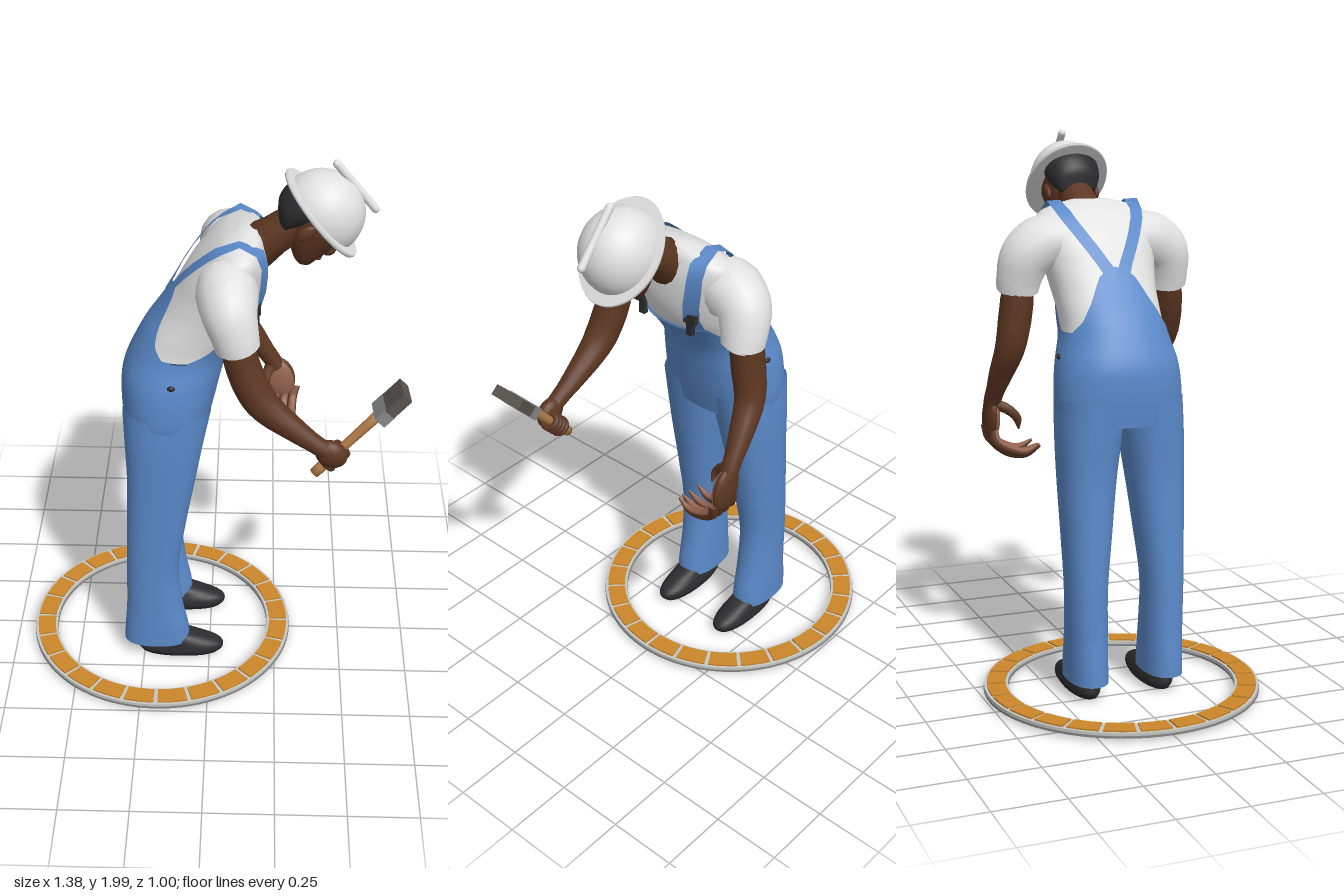
import * as THREE from 'three';
import { ParametricGeometry } from 'three/addons/geometries/ParametricGeometry.js';

const paint = (name, color) => Object.assign(new THREE.MeshStandardMaterial({ color }), { name });
const V = (a) => new THREE.Vector3(...a);

export function createModel() {
  const model = new THREE.Group();
  const denim = paint('denim blue', 0x5b8aca);
  denim.side = THREE.DoubleSide;
  const white = paint('white', 0xe0e1e0);
  const skin = paint('dark skin', 0x5c3621);
  const palmSkin = paint('palm skin', 0x946450);
  const black = paint('black', 0x2c2c2e);
  const orange = paint('orange tile', 0xcc872b);
  const grey = paint('grey', 0x858688);
  const wood = paint('wood', 0xb27c48);
  const bristle = paint('bristle', 0x57524c);
  const grout = paint('grout', 0xc6c6c2);

  const add = (name, geo, mat, parent = model, pos = [0, 0, 0], scale = [1, 1, 1]) => {
    const m = new THREE.Mesh(geo, mat);
    m.name = name;
    m.position.set(...pos);
    m.scale.set(...scale);
    parent.add(m);
    return m;
  };
  const ball = new THREE.SphereGeometry(1, 24, 16);

  // Smoothly interpolated cross-sections: rows of [y, xMin, xMax, zMin, zMax]
  const sections = (rows) => {
    const it = new THREE.CubicInterpolant(rows.map((r) => r[0]), rows.flatMap((r) => r.slice(1)), 4);
    return (y) => {
      const [x0, x1, z0, z1] = it.evaluate(y);
      return { cx: (x0 + x1) / 2, a: (x1 - x0) / 2, cz: (z0 + z1) / 2, b: (z1 - z0) / 2 };
    };
  };
  // Closed loft through the sections; topAt may vary the upper edge by angle
  const loft = (rows, { power = 2, grow = 0, topAt = null, N = 36, sides = 40 } = {}) => {
    const at = sections(rows), y0 = rows[0][0], y1 = rows[rows.length - 1][0];
    const e = 2 / power;
    return new ParametricGeometry((u, v, p) => {
      const t = -u * Math.PI * 2, c = Math.cos(t), s = Math.sin(t);
      const k = THREE.MathUtils.clamp((v * N - 1) / (N - 2), 0, 1);
      const y = y0 + ((topAt ? topAt(t) : y1) - y0) * k;
      const { cx, a, cz, b } = at(y);
      const f = v <= 0 || v >= 1 ? 0.001 : 1;
      p.set(cx + f * (a + grow) * Math.sign(c) * Math.abs(c) ** e, y,
        cz + f * (b + grow) * Math.sign(s) * Math.abs(s) ** e);
    }, sides, N);
  };
  // Tube along points whose radius follows an evenly spaced list
  const limb = (pts, radii, T = 28, R = 16) => {
    const curve = new THREE.CatmullRomCurve3(pts.map(V));
    const g = new THREE.TubeGeometry(curve, T, 1, R);
    const pos = g.attributes.position, p = new THREE.Vector3();
    for (let i = 0; i <= T; i++) {
      const c = curve.getPointAt(i / T), q = (i / T) * (radii.length - 1);
      const n = Math.min(Math.floor(q), radii.length - 2);
      const r = THREE.MathUtils.lerp(radii[n], radii[n + 1], q - n);
      for (let j = 0; j <= R; j++) {
        const k = i * (R + 1) + j;
        p.fromBufferAttribute(pos, k).sub(c).multiplyScalar(r).add(c);
        pos.setXYZ(k, p.x, p.y, p.z);
      }
    }
    return g;
  };

  // Tiled ring on the floor
  const ring = new THREE.Group();
  ring.name = 'floorRing';
  ring.position.x = -0.19;
  model.add(ring);
  const arc = (r0, r1, a0, a1, y, h) => {
    const s = new THREE.Shape();
    s.absarc(0, 0, r1, a0, a1, false);
    if (a1 - a0 > 6) s.holes.push(new THREE.Path().absarc(0, 0, r0, a0, a1, true));
    else s.absarc(0, 0, r0, a1, a0, true);
    return new THREE.ExtrudeGeometry(s, { depth: h, bevelEnabled: false, curveSegments: a1 - a0 > 6 ? 48 : 4 })
      .rotateX(-Math.PI / 2).translate(0, y, 0);
  };
  add('ringBase', arc(0.41, 0.5, 0, Math.PI * 2, 0.012, 0.008), grey, ring);
  add('ringGrout', arc(0.412, 0.498, 0, Math.PI * 2, 0.02, 0.01), grout, ring);
  for (let i = 0; i < 24; i++) {
    const a = (i / 24) * Math.PI * 2;
    add('ringTile', arc(0.421, 0.488, a + 0.016, a + 0.246, 0.028, 0.008), orange, ring);
  }

  // Shoes and trouser legs
  for (const s of [1, -1]) {
    const side = (rows) => rows.map(([y, a, b, i, o]) => [y, a, b, ...(s > 0 ? [i, o] : [-o, -i])]);
    add('shoe', loft(side([[0, -0.26, 0.035, 0.09, 0.19], [0.02, -0.272, 0.052, 0.08, 0.202],
      [0.045, -0.27, 0.045, 0.082, 0.2], [0.07, -0.265, -0.01, 0.09, 0.195], [0.1, -0.26, -0.1, 0.095, 0.19]]),
    { N: 14, power: 2.2 }), black);
    add('trouserLeg', loft(side([[0.065, -0.325, -0.075, 0.072, 0.215], [0.12, -0.322, -0.08, 0.073, 0.215],
      [0.22, -0.314, -0.1, 0.073, 0.215], [0.4, -0.31, -0.115, 0.073, 0.218], [0.6, -0.305, -0.087, 0.052, 0.224],
      [0.8, -0.3, -0.05, 0.028, 0.229], [0.95, -0.305, -0.022, 0.006, 0.23], [1.08, -0.31, 0.005, -0.01, 0.225]]),
    { power: 2.3 }), denim);
  }

  // Torso: shirt with the overalls as a slightly larger shell
  const body = [[0.99, -0.3, -0.02, 0.2], [1.05, -0.305, -0.005, 0.218], [1.12, -0.308, 0.012, 0.218],
    [1.2, -0.302, 0.03, 0.208], [1.3, -0.262, 0.06, 0.183], [1.38, -0.218, 0.11, 0.182], [1.45, -0.168, 0.162, 0.188],
    [1.52, -0.122, 0.188, 0.2], [1.6, -0.075, 0.198, 0.215], [1.66, -0.028, 0.195, 0.225], [1.7, 0.01, 0.185, 0.21],
    [1.732, 0.05, 0.175, 0.15], [1.75, 0.09, 0.16, 0.07]].map(([y, a, b, z]) => [y, a, b, -z, z]);
  add('shirt', loft(body.slice(3), { power: 2.3 }), white);
  const edge = [[0, 1.425], [44, 1.43], [52, 1.39], [66, 1.335], [85, 1.305], [112, 1.31], [132, 1.35],
    [150, 1.42], [165, 1.5], [180, 1.53]];
  const topAt = (t) => {
    const d = THREE.MathUtils.radToDeg(Math.acos(THREE.MathUtils.clamp(Math.cos(t), -1, 1)));
    const i = Math.max(1, edge.findIndex((k) => k[0] >= d - 1e-6));
    const [a, ya] = edge[i - 1], [b, yb] = edge[i];
    return THREE.MathUtils.mapLinear(d, a, b, ya, yb);
  };
  add('overalls', loft(body, { power: 2.3, grow: 0.01, topAt, sides: 90 }), denim);

  // Straps laid over the torso, with buckles; a small side button
  const at = sections(body);
  const onBody = (y, z, f) => {
    const { cx, a, b } = at(y);
    return cx + f * (a * Math.max(0, 1 - Math.abs(z / b) ** 2.3) ** (1 / 2.3) + 0.012);
  };
  const strapPath = [[1.48, 0.015, -1], [1.53, 0.04, -1], [1.58, 0.07, -1], [1.63, 0.1, -1], [1.68, 0.128, -1],
    [1.71, 0.14, -1], [1.742, 0.148, 0], [1.71, 0.15, 1], [1.66, 0.146, 1], [1.6, 0.137, 1], [1.54, 0.124, 1],
    [1.48, 0.112, 1], [1.41, 0.105, 1]];
  for (const s of [1, -1]) {
    const g = new THREE.PlaneGeometry(1, 1, 1, strapPath.length - 1);
    strapPath.forEach(([y, z, f], i) => [-0.026, 0.026].forEach((w, j) => {
      const x = f ? onBody(y, z + w, f) : 0.1;
      g.attributes.position.setXYZ(i * 2 + j, x, y + 0.008, s * (z + w));
    }));
    g.computeVertexNormals();
    add('strap', g, denim);
    const x = onBody(1.47, 0.11, 1);
    add('buckle', new THREE.BoxGeometry(0.018, 0.035, 0.05), black, model, [x + 0.004, 1.495, s * 0.112]);
    add('buckleClip', new THREE.BoxGeometry(0.018, 0.05, 0.024), black, model, [x, 1.455, s * 0.108]);
    add('sideButton', ball, black, model, [-0.13, 1.225, s * 0.213], [0.014, 0.01, 0.008]);
    add('sleeve', limb([[0.055, 1.61, s * 0.12], [0.06, 1.6, s * 0.2], [0.07, 1.555, s * 0.262], [0.09, 1.48, s * 0.283],
      [0.105, 1.415, s * 0.286], [0.1, 1.44, s * 0.286]], [0.05, 0.1, 0.107, 0.1, 0.09, 0.082, 0.076, 0.02]), white);
  }

  // Arms
  add('rightArm', limb([[0.09, 1.48, 0.285], [0.125, 1.35, 0.3], [0.185, 1.235, 0.312], [0.3, 1.135, 0.322],
    [0.39, 1.07, 0.33], [0.42, 1.05, 0.33]], [0.05, 0.06, 0.062, 0.06, 0.052, 0.043, 0.034, 0.03]), skin);
  add('leftArm', limb([[0.085, 1.48, -0.285], [0.085, 1.35, -0.3], [0.095, 1.23, -0.318], [0.16, 1.12, -0.335],
    [0.225, 1.02, -0.345], [0.24, 0.99, -0.345]], [0.05, 0.06, 0.06, 0.056, 0.05, 0.043, 0.034, 0.032]), skin);

  // Open left hand with curled fingers
  add('leftHand', ball, skin, model, [0.252, 0.945, -0.348], [0.06, 0.085, 0.026]).rotation.z = 0.25;
  add('leftPalm', ball, palmSkin, model, [0.252, 0.942, -0.337], [0.055, 0.08, 0.022]).rotation.z = 0.25;
  for (let i = 0; i < 4; i++) {
    const x = 0.21 + i * 0.032, d = [0.014, 0, 0, 0.012][i];
    const finger = (o, r) => limb([[x + 0.012, 0.91, -0.348 + o], [x, 0.86 + o, -0.338 + o], [x - 0.004, 0.815 + d + o, -0.29 + o],
      [x - 0.008, 0.8 + d + o, -0.225], [x - 0.01, 0.825 + d + o, -0.16 - d]], [r, r, r, r * 0.9, r * 0.8, 0.003], 18, 8);
    add('leftFinger', finger(0, 0.0165), skin);
    add('leftFingerInside', finger(0.005, 0.0145), palmSkin);
  }
  add('leftThumb', limb([[0.225, 1.0, -0.34], [0.205, 0.985, -0.3], [0.2, 0.95, -0.262], [0.212, 0.905, -0.25]],
    [0.02, 0.02, 0.018, 0.015, 0.004], 16, 8), skin);

  // Brush and the right hand gripping it
  const brush = new THREE.Group();
  brush.name = 'brush';
  brush.position.set(0.37, 0.945, 0.3);
  brush.quaternion.setFromUnitVectors(V([0, 1, 0]), V([0.21, 0.225, -0.025]).normalize());
  model.add(brush);
  add('handle', new THREE.LatheGeometry([[0, 0], [0.018, 0], [0.02, 0.03], [0.016, 0.14], [0.018, 0.26], [0.02, 0.32], [0, 0.32]]
    .map((p) => new THREE.Vector2(...p)), 16), wood, brush);
  add('ferrule', new THREE.BoxGeometry(0.046, 0.05, 0.118), grey, brush, [0, 0.335, 0]);
  add('bristles', new THREE.BoxGeometry(0.04, 0.085, 0.124), bristle, brush, [0, 0.4, 0]);
  add('rightHand', ball, skin, model, [0.425, 1.045, 0.328], [0.06, 0.05, 0.034]).rotation.z = -0.6;
  for (let i = 0; i < 4; i++) {
    add('rightFinger', new THREE.TorusGeometry(0.026, 0.0125, 8, 20), skin, brush, [0, 0.062 + i * 0.024, 0.003])
      .rotation.x = Math.PI / 2;
  }

  // Neck and bowed head (local x is forward)
  add('neck', limb([[0.11, 1.64, 0], [0.18, 1.69, 0], [0.25, 1.74, 0], [0.32, 1.79, 0]], [0.085, 0.08, 0.068, 0.065, 0.065]), skin);
  const head = new THREE.Group();
  head.name = 'head';
  head.position.set(0.37, 1.8, 0);
  head.rotation.z = -THREE.MathUtils.degToRad(50);
  model.add(head);
  const sym = (rows) => rows.map(([y, a, b, z]) => [y, a, b, -z, z]);
  add('face', loft(sym([[-0.168, 0.06, 0.108, 0.025], [-0.15, 0.02, 0.122, 0.048], [-0.12, -0.03, 0.124, 0.066],
    [-0.08, -0.07, 0.124, 0.08], [-0.03, -0.105, 0.12, 0.094], [0.04, -0.12, 0.12, 0.1]]), { power: 2.2 }), skin, head);
  add('hair', loft(sym([[-0.115, -0.085, -0.03, 0.066], [-0.08, -0.125, -0.015, 0.086], [-0.04, -0.142, 0.005, 0.099],
    [0.02, -0.145, 0.02, 0.105]])), black, head);
  add('nose', ball, skin, head, [0.126, -0.062, 0], [0.022, 0.026, 0.017]);
  add('lips', ball, skin, head, [0.122, -0.105, 0], [0.012, 0.012, 0.028]);
  for (const s of [1, -1]) {
    add('ear', ball, skin, head, [-0.005, -0.06, s * 0.094], [0.022, 0.036, 0.012]);
    add('eye', ball, black, head, [0.11, -0.042, s * 0.038], [0.008, 0.006, 0.014]);
    add('eyebrow', ball, black, head, [0.112, -0.022, s * 0.04], [0.009, 0.005, 0.022]);
  }

  // Hard hat
  add('hatDome', new THREE.SphereGeometry(1, 40, 20, 0, Math.PI * 2, 0, Math.PI / 2), white, head, [0, 0, 0], [0.15, 0.152, 0.135]);
  add('hatBrim', new THREE.LatheGeometry([[0, -0.008], [0.98, -0.008], [1, 0], [0.98, 0.008], [0, 0.008]]
    .map((p) => new THREE.Vector2(...p)), 48), white, head, [0.002, 0, 0], [0.188, 1, 0.156]);
  add('hatRidge', new THREE.CapsuleGeometry(0.014, 0.21, 6, 12).rotateZ(Math.PI / 2), white, head, [0, 0.15, 0]);

  return model;
}
